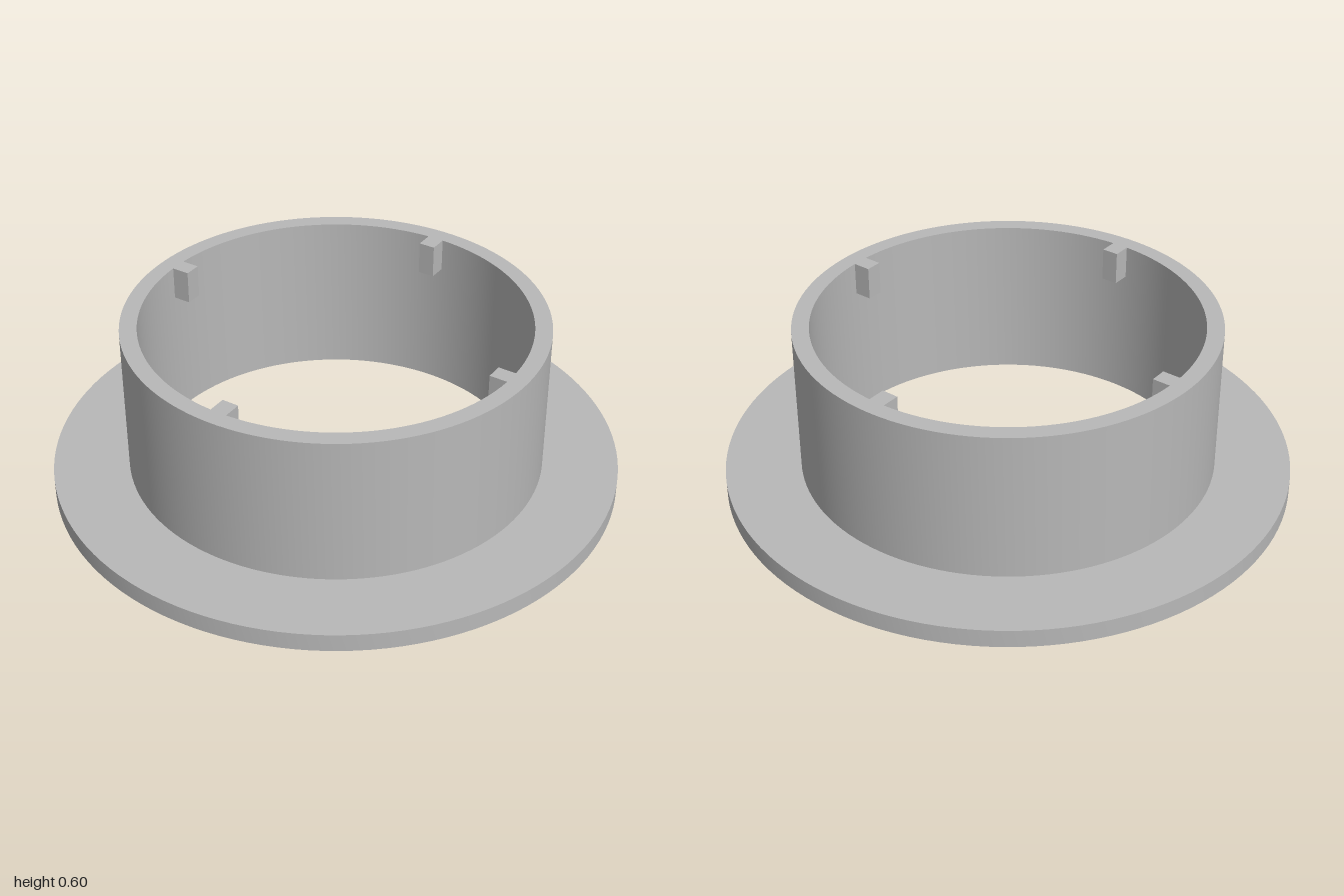
import * as THREE from 'three';
import { toCreasedNormals } from 'three/addons/utils/BufferGeometryUtils.js';

const BORE = 0.675, WALL = 0.735, FLANGE = 1;
const FLANGE_TOP = 0.065, HEIGHT = 0.6;
const TAB_INNER = 0.61, TAB_WIDTH = 0.06, TAB_HEIGHT = 0.12;

export function createModel() {
  const group = new THREE.Group();
  group.name = 'flangedCollar';
  const grey = new THREE.MeshStandardMaterial({ color: 0xb8b8b8 });
  grey.name = 'grey';

  const add = (name, geometry) => {
    const mesh = new THREE.Mesh(geometry, grey);
    mesh.name = name;
    group.add(mesh);
    return mesh;
  };

  // Revolve a profile, keeping its corners sharp and its walls smooth
  const revolve = (points) => toCreasedNormals(
    new THREE.LatheGeometry(points.map(([r, y]) => new THREE.Vector2(r, y)), 128), Math.PI / 6);

  // Flat ring at the base: underside, rim and top
  add('flange', revolve([[BORE, 0], [FLANGE, 0], [FLANGE, FLANGE_TOP], [WALL, FLANGE_TOP]]));

  // Upright tube: outer wall, top edge and bore
  add('collar', revolve([[WALL, FLANGE_TOP], [WALL, HEIGHT], [BORE, HEIGHT], [BORE, 0]]));

  // Four small tabs inside the bore, flush with the top edge
  const length = BORE + 0.002 - TAB_INNER;
  const tab = new THREE.BoxGeometry(length, TAB_HEIGHT, TAB_WIDTH);
  tab.translate(TAB_INNER + length / 2, HEIGHT - TAB_HEIGHT / 2, 0);
  for (let i = 0; i < 4; i++) {
    add(`tab${i + 1}`, tab).rotation.y = THREE.MathUtils.degToRad(53.3 + 90 * i);
  }

  return group;
}
